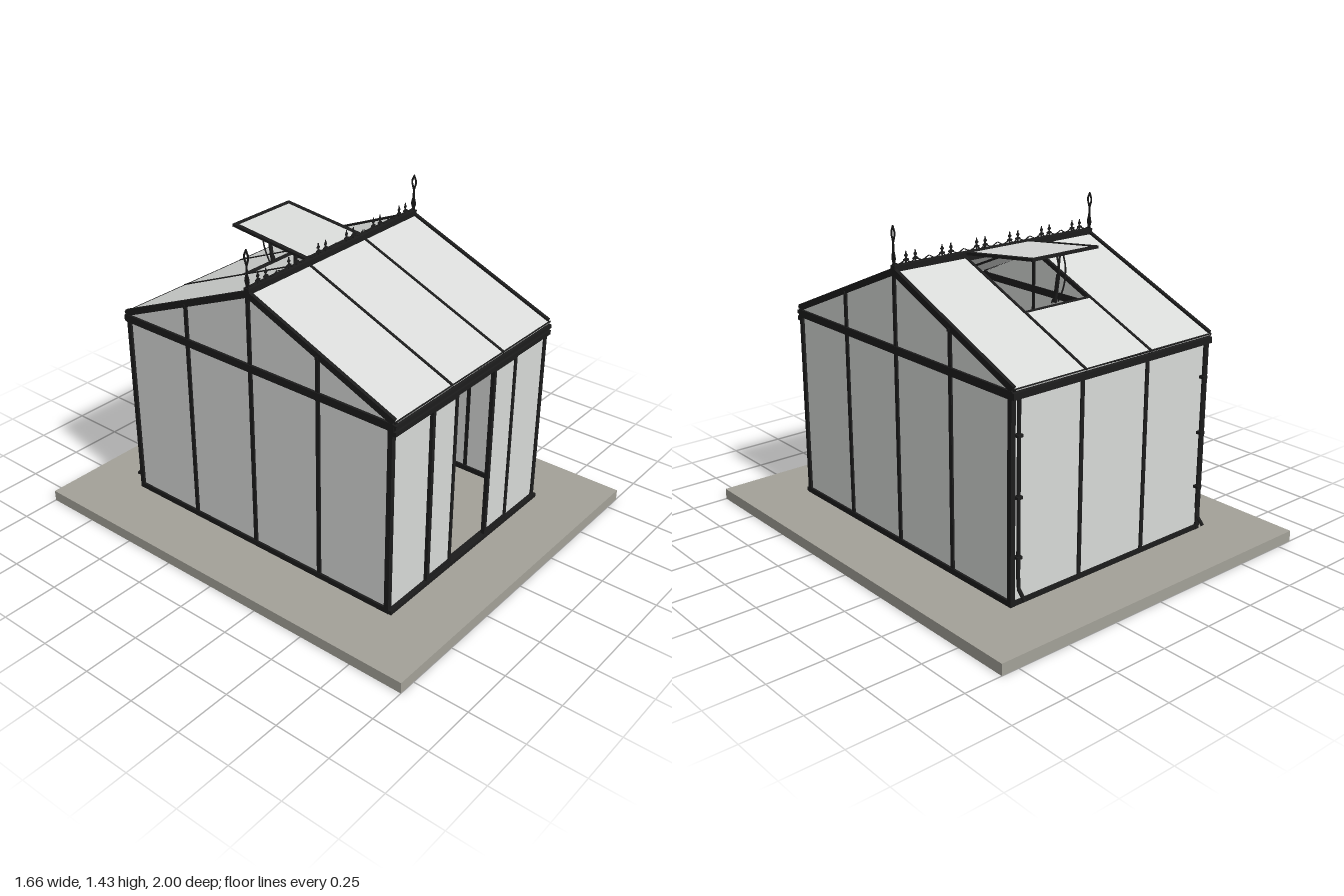
import * as THREE from 'three';

const frameMat = new THREE.MeshStandardMaterial({ name: 'black frame', color: 0x1c1c1c });
const glassMat = new THREE.MeshStandardMaterial({ name: 'pale glass', color: 0xd8dad8 });
const stoneMat = new THREE.MeshStandardMaterial({ name: 'grey stone', color: 0xa3a198 });

const PITCH = Math.atan(0.42), RIDGE = 1.25;
const roofY = (z) => RIDGE - 0.42 * Math.abs(z);

// Box given by its min and max on each axis
function box(parent, name, mat, x0, x1, y0, y1, z0, z1) {
  const m = new THREE.Mesh(new THREE.BoxGeometry(x1 - x0, y1 - y0, z1 - z0), mat);
  m.position.set((x0 + x1) / 2, (y0 + y1) / 2, (z0 + z1) / 2);
  m.name = name;
  parent.add(m);
  return m;
}

// Tube through a few points
function rod(parent, name, pts, r, smooth = false) {
  const v = pts.map((p) => new THREE.Vector3(...p));
  let path;
  if (smooth) path = new THREE.CatmullRomCurve3(v);
  else {
    path = new THREE.CurvePath();
    for (let i = 1; i < v.length; i++) path.add(new THREE.LineCurve3(v[i - 1], v[i]));
  }
  const m = new THREE.Mesh(new THREE.TubeGeometry(path, smooth ? 24 : 16, r, 6), frameMat);
  m.name = name;
  parent.add(m);
  return m;
}

// Flat ornament mirrored about its vertical axis, from a half profile [halfWidth, height]
function ornament(half, hole) {
  const outline = (p) => [...p.map(([w, h]) => new THREE.Vector2(w, h)),
    ...p.slice().reverse().map(([w, h]) => new THREE.Vector2(-w, h))];
  const s = new THREE.Shape(outline(half));
  if (hole) s.holes.push(new THREE.Path(outline(hole)));
  const g = new THREE.ExtrudeGeometry(s, { depth: 0.004, bevelEnabled: false });
  return g.translate(0, 0, -0.002);
}

// One roof slope running down local +z from the ridge
function slope(name, open) {
  const turn = new THREE.Group();
  turn.name = name;
  const s = new THREE.Group();
  s.position.y = RIDGE;
  s.rotation.x = PITCH;
  turn.add(s);
  const L = 0.795, cut = 0.41;
  for (const [x0, x1, z0] of [[-0.535, -0.18, 0], [-0.18, 0.18, open ? cut : 0], [0.18, 0.535, 0]])
    box(s, 'roofPane', glassMat, x0, x1, -0.003, 0.003, z0, L);
  for (const x of [-0.18, 0.18]) box(s, 'glazingBar', frameMat, x - 0.006, x + 0.006, -0.012, 0.007, 0, L);
  for (const x of [-0.539, 0.539]) box(s, 'rafter', frameMat, x - 0.008, x + 0.008, -0.016, 0.012, 0, 0.785);
  box(s, 'eaveStrip', frameMat, -0.545, 0.545, -0.005, 0.005, L - 0.006, L);
  if (open) box(s, 'ventSill', frameMat, -0.18, 0.18, -0.008, 0.006, cut - 0.005, cut + 0.005);
  return turn;
}

function sideWall(sign) {
  const g = new THREE.Group();
  g.name = 'sideWall';
  box(g, 'wallPane', glassMat, 0.531, 0.537, 0.05, 0.92, -0.71, 0.71);
  // Gable glass
  const tri = new THREE.Shape([new THREE.Vector2(-0.71, 0.92), new THREE.Vector2(0.71, 0.92),
    new THREE.Vector2(0.71, roofY(0.71)), new THREE.Vector2(0, RIDGE), new THREE.Vector2(-0.71, roofY(0.71))]);
  const geo = new THREE.ExtrudeGeometry(tri, { depth: 0.006, bevelEnabled: false });
  geo.rotateY(Math.PI / 2).translate(0.531, 0, 0);
  const gable = new THREE.Mesh(geo, glassMat);
  gable.name = 'gablePane';
  g.add(gable);
  box(g, 'baseRail', frameMat, 0.522, 0.547, 0.05, 0.075, -0.72, 0.72);
  box(g, 'eaveRail', frameMat, 0.525, 0.548, 0.903, 0.937, -0.725, 0.725);
  for (const z of [-0.71, 0.71]) box(g, 'cornerPost', frameMat, 0.525, 0.547, 0.05, 0.94, z - 0.011, z + 0.011);
  for (const z of [-0.355, 0, 0.355]) {
    box(g, 'stud', frameMat, 0.526, 0.545, 0.05, roofY(z), z - 0.009, z + 0.009);
    if (z) box(g, 'studClip', frameMat, 0.54, 0.551, roofY(z) - 0.02, roofY(z) - 0.005, z - 0.006, z + 0.006);
  }
  // Flat finial on the gable peak
  const fin = new THREE.Mesh(ornament(
    [[0.012, 1.24], [0.012, 1.27], [0.006, 1.28], [0.013, 1.3], [0.01, 1.315], [0.005, 1.33], [0.004, 1.365],
      [0.014, 1.395], [0.014, 1.41], [0.002, 1.435]],
    [[0.002, 1.382], [0.007, 1.397], [0.007, 1.406], [0.001, 1.42]]), frameMat);
  fin.name = 'gableFinial';
  fin.rotation.y = Math.PI / 2;
  fin.position.x = 0.54;
  g.add(fin);
  // Downpipe with kicked-out foot and clips
  rod(g, 'downpipe', [[0.515, 0.91, -0.728], [0.515, 0.13, -0.728], [0.515, 0.088, -0.768]], 0.008);
  for (const y of [0.76, 0.51, 0.26]) box(g, 'pipeClip', frameMat, 0.502, 0.528, y - 0.006, y + 0.006, -0.739, -0.715);
  if (sign < 0) g.rotation.y = Math.PI;
  return g;
}

function frontWall() {
  const g = new THREE.Group();
  g.name = 'frontWall';
  for (const s of [-1, 1]) {
    const span = (name, mat, a, b, y0, y1, z0, z1) =>
      box(g, name, mat, Math.min(s * a, s * b), Math.max(s * a, s * b), y0, y1, z0, z1);
    span('fixedPane', glassMat, 0.285, 0.535, 0.06, 0.89, 0.709, 0.715);
    span('doorPane', glassMat, 0.135, 0.288, 0.08, 0.88, 0.719, 0.725);
    span('doorOuterStile', frameMat, 0.281, 0.298, 0.06, 0.89, 0.706, 0.731);
    span('doorInnerStile', frameMat, 0.127, 0.143, 0.06, 0.89, 0.713, 0.731);
    span('doorTopRail', frameMat, 0.13, 0.29, 0.873, 0.89, 0.713, 0.731);
    span('doorBottomRail', frameMat, 0.13, 0.29, 0.06, 0.09, 0.713, 0.731);
  }
  box(g, 'threshold', frameMat, -0.545, 0.545, 0.05, 0.069, 0.7, 0.735);
  box(g, 'doorTrack', frameMat, -0.547, 0.547, 0.885, 0.905, 0.7, 0.737);
  box(g, 'header', frameMat, -0.545, 0.545, 0.9, 0.925, 0.7, 0.728);
  box(g, 'frontGutter', frameMat, -0.547, 0.547, 0.915, 0.932, 0.71, 0.738);
  return g;
}

function backWall() {
  const g = new THREE.Group();
  g.name = 'backWall';
  box(g, 'backPane', glassMat, -0.535, 0.535, 0.05, 0.92, -0.713, -0.707);
  box(g, 'backBaseRail', frameMat, -0.545, 0.545, 0.05, 0.072, -0.72, -0.7);
  box(g, 'backGutter', frameMat, -0.547, 0.547, 0.905, 0.932, -0.736, -0.7);
  for (const x of [-0.18, 0.18]) box(g, 'backStud', frameMat, x - 0.009, x + 0.009, 0.05, 0.92, -0.719, -0.701);
  return g;
}

// Ridge beam with scrolls and pairs of small spikes
function ridge() {
  const g = new THREE.Group();
  g.name = 'ridge';
  box(g, 'ridgeBeam', frameMat, -0.547, 0.547, 1.235, 1.272, -0.014, 0.014);
  const spike = ornament([[0.003, 1.268], [0.003, 1.28], [0.014, 1.284], [0.013, 1.289], [0.004, 1.293], [0.003, 1.297],
    [0.008, 1.302], [0.008, 1.306], [0.003, 1.311], [0.001, 1.322]]);
  for (let i = 0; i < 6; i++) {
    const c = (i - 2.5) * 0.1825;
    for (const d of [-0.023, 0.023]) {
      const m = new THREE.Mesh(spike, frameMat);
      m.name = 'crestSpike';
      m.position.x = c + d;
      g.add(m);
    }
    rod(g, 'crestScroll', [[c - 0.09, 1.287, 0], [c - 0.06, 1.274, 0], [c - 0.023, 1.285, 0], [c, 1.273, 0],
      [c + 0.023, 1.285, 0], [c + 0.06, 1.274, 0], [c + 0.09, 1.287, 0]], 0.0025, true);
  }
  return g;
}

// Propped-open roof vent, hinged at the ridge
function vent() {
  const g = new THREE.Group();
  g.name = 'roofVent';
  const lid = new THREE.Group();
  lid.name = 'ventLid';
  lid.position.y = 1.265;
  lid.rotation.x = 0.115;
  box(lid, 'ventPane', glassMat, -0.17, 0.17, -0.003, 0.003, -0.415, 0);
  for (const x of [-0.17, 0.17]) box(lid, 'ventStile', frameMat, x - 0.01, x + 0.01, -0.006, 0.006, -0.425, 0);
  for (const z of [-0.416, -0.012]) box(lid, 'ventRail', frameMat, -0.18, 0.18, -0.006, 0.006, z - 0.009, z + 0.009);
  g.add(lid);
  // Opener arm
  rod(g, 'openerCylinder', [[0, 1.1, -0.36], [0, 1.22, -0.378]], 0.009);
  rod(g, 'openerRod', [[0, 1.2, -0.375], [0, 1.305, -0.385]], 0.005);
  for (const x of [-0.018, 0.018])
    rod(g, 'openerLink', [[x, 1.1, -0.36], [x, 1.17, -0.392], [x, 1.25, -0.4], [x, 1.305, -0.385]], 0.0035, true);
  return g;
}

export function createModel() {
  const model = new THREE.Group();
  model.name = 'greenhouse';
  box(model, 'stoneSlab', stoneMat, -0.83, 0.83, 0, 0.05, -1, 1);
  const right = sideWall(1);
  // Mirrored copy keeps the downpipe at the back
  const left = new THREE.Group();
  left.name = 'oppositeSide';
  left.add(sideWall(1));
  left.scale.x = -1;
  const back = slope('backRoof', true);
  back.rotation.y = Math.PI;
  model.add(right, left, frontWall(), backWall(), slope('frontRoof', false), back, ridge(), vent());
  return model;
}
